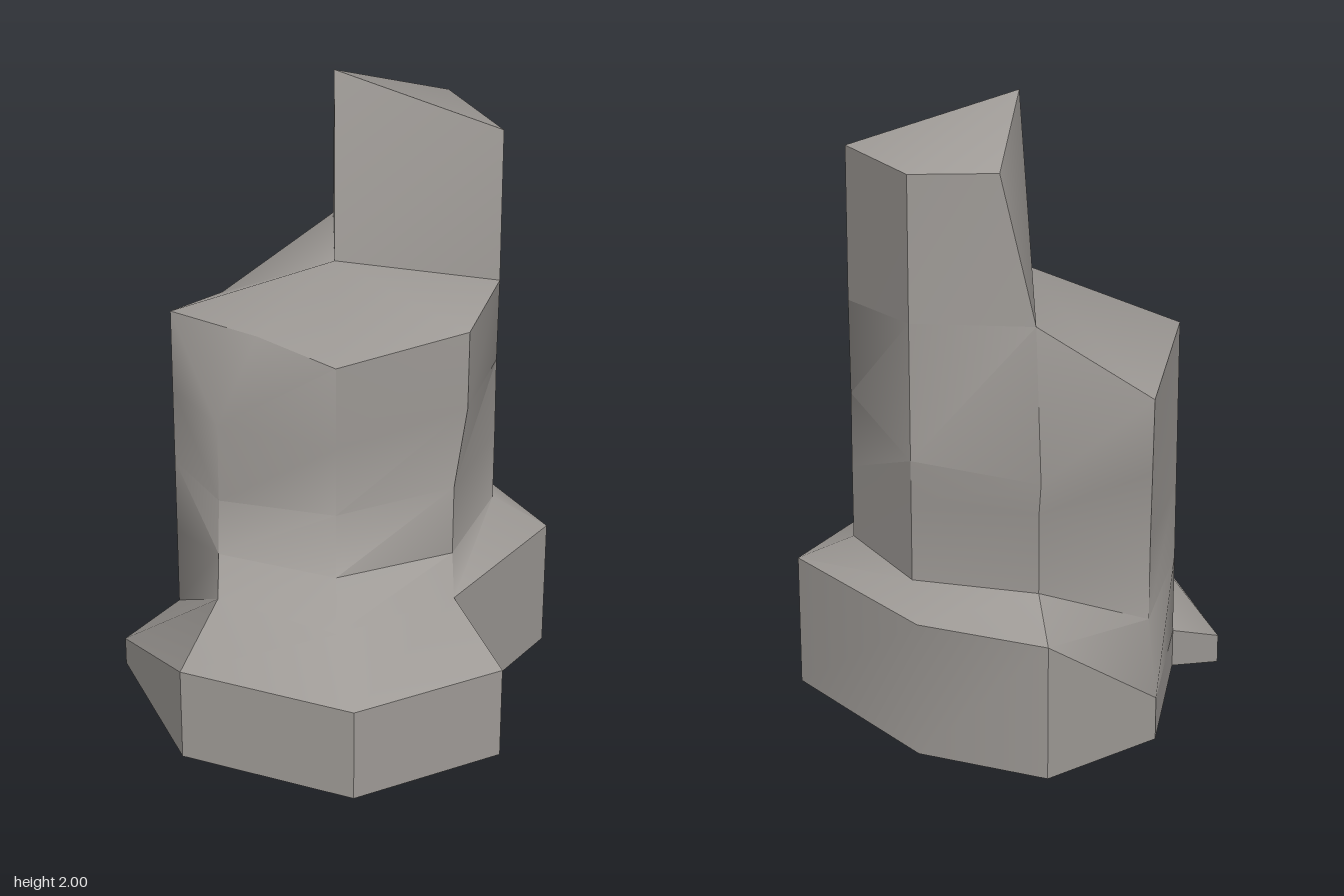
import * as THREE from 'three';
import { toCreasedNormals } from 'three/addons/utils/BufferGeometryUtils.js';

const material = new THREE.MeshStandardMaterial({ color: 0x9e9a96, side: THREE.DoubleSide });

// Triangles between two rows of corners, walked counter-clockwise seen from above;
// the quad at index flipAt is split along its other diagonal
function strip(lower, upper, closed = false, flipAt = -1) {
  const out = [], n = lower.length;
  for (let i = 0; i < (closed ? n : n - 1); i++) {
    const j = (i + 1) % n;
    const [a, b, c, d] = [lower[i], lower[j], upper[j], upper[i]];
    out.push(...(i === flipAt ? [a, b, d, b, c, d] : [a, b, c, a, c, d]));
  }
  return out;
}

// Triangles from one hub to an ordered row of corners
function fan(hub, row) {
  const out = [];
  for (let i = 0; i < row.length - 1; i++) out.push(hub, row[i], row[i + 1]);
  return out;
}

// Mesh that is smooth across edges shallower than the crease angle
function part(name, corners, creaseDegrees = 40) {
  const geometry = new THREE.BufferGeometry();
  geometry.setAttribute('position', new THREE.Float32BufferAttribute(corners.flat(), 3));
  const mesh = new THREE.Mesh(toCreasedNormals(geometry, THREE.MathUtils.degToRad(creaseDegrees)), material);
  mesh.name = name;
  return mesh;
}

const atHeight = (points, y) => points.map(([x, , z]) => [x, y, z]);

export function createModel() {
  const group = new THREE.Group();
  group.name = 'brokenColumn';

  // Eight upright edges of the shaft, each from bottom to top, starting at the front
  const edges = [
    [[0, 0.565, 0.43], [0, 0.73, 0.335], [0, 0.96, 0.335], [0, 1.23, 0.33]],
    [[0.365, 0.565, 0.28], [0.365, 0.8, 0.285], [0.4, 1.08, 0.3], [0.4, 1.34, 0.31]],
    [[0.515, 0.565, -0.085], [0.515, 0.8, -0.085], [0.515, 1.05, -0.105], [0.515, 1.34, -0.07]],
    [[0.365, 0.565, -0.45], [0.365, 0.82, -0.45], [0.365, 0.95, -0.45], [0.365, 1.38, -0.45]],
    [[0, 0.565, -0.6], [0, 0.82, -0.6], [0, 0.93, -0.64], [0, 1.38, -0.53]],
    [[-0.365, 0.39, -0.45], [-0.365, 0.65, -0.45], [-0.365, 0.88, -0.465], [-0.365, 1.12, -0.48]],
    [[-0.515, 0.44, -0.09], [-0.515, 0.7, -0.09], [-0.515, 0.96, -0.09], [-0.515, 1.23, -0.09]],
    [[-0.365, 0.565, 0.28], [-0.365, 0.7, 0.18], [-0.365, 0.96, 0.18], [-0.24, 1.23, 0.1]],
  ];
  const rings = [0, 1, 2, 3].map((level) => edges.map((edge) => edge[level]));

  // Plinth rim, and the front slab that slopes down from it
  const rim = [
    [0, 0.48, 0.62], [0.365, 0.48, 0.41], [0.69, 0.48, -0.04], [0.365, 0.48, -0.59],
    [0, 0.48, -0.8], [-0.365, 0.19, -0.59], [-0.515, 0.175, -0.09], [-0.365, 0.48, 0.41],
  ];
  const slab = [[-0.69, 0.095, 0.02], [-0.48, 0.31, 0.56], [0.05, 0.31, 0.79], [0.51, 0.31, 0.56]];

  // Shaft, ledge and slab top run into each other as one surface
  const body = [
    ...strip(slab, [rim[6], rim[7], rim[0], rim[1]]),
    ...strip(rim, rings[0], true),
  ];
  for (let i = 0; i < 3; i++) body.push(...strip(rings[i], rings[i + 1], true, 6));
  group.add(part('shaftAndLedge', body));

  // Broken top, sloping away from a peak beside the tall shard
  const top = rings[3], peak = [0, 1.43, -0.02];
  group.add(part('brokenTop', fan(peak, [4, 5, 6, 7, 0, 1, 2].map((i) => top[i])), 60));

  // Tall shard standing over the back left of the shaft
  const foot = [peak, top[2], top[3], top[4]];
  const tip = [[0, 2, -0.16], [0.515, 1.83, -0.09], [0.365, 1.83, -0.455], [0.1, 1.83, -0.48]];
  group.add(part('tallShard', [...strip(foot, tip, true), ...fan(tip[0], tip.slice(1))]));

  // Outer walls of plinth and slab
  const plinth = rim.slice(1, 7);
  const plinthFoot = atHeight(plinth, 0.05), slabFoot = atHeight(slab, 0);
  group.add(part('plinthWalls', strip([...plinthFoot, ...slabFoot], [...plinth, ...slab], true)));

  // Underside
  const under = [...plinthFoot].reverse();
  const slabUnder = [...[...slabFoot].reverse(), plinthFoot[5]];
  group.add(part('underside', [...fan(under[0], under.slice(1)), ...fan(plinthFoot[0], slabUnder)]));

  return group;
}
